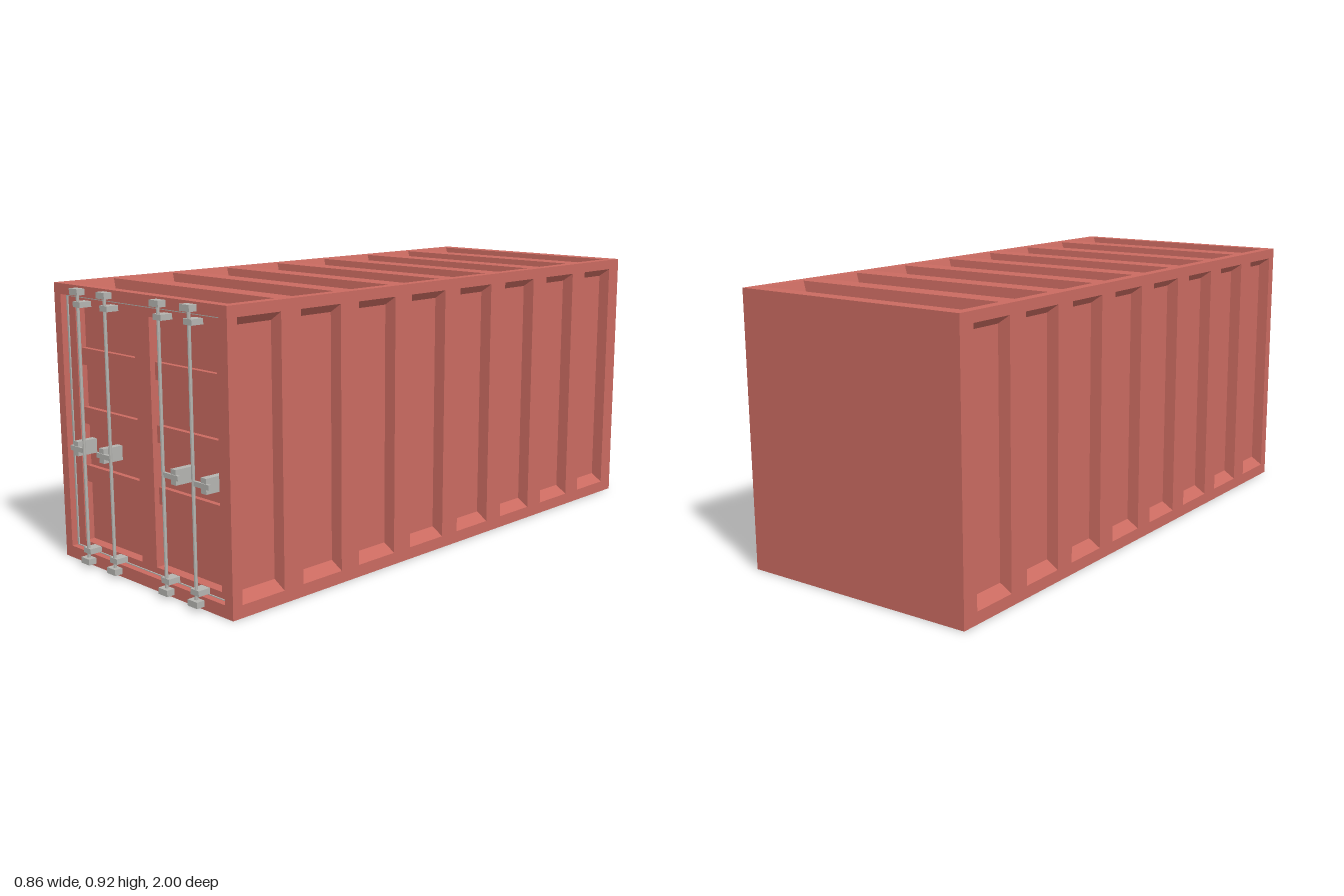
import * as THREE from 'three';
import { mergeGeometries } from 'three/addons/utils/BufferGeometryUtils.js';

const W = 0.43, H = 0.92, BACK = -1, FRONT = 0.972;
const red = new THREE.MeshStandardMaterial({ color: 0xc96a60, flatShading: true });
const grey = new THREE.MeshStandardMaterial({ color: 0xb4b4b0, flatShading: true });

// Rectangles are [x0, y0, x1, y1]
const corners = ([a, b, c, d]) => [[a, b], [c, b], [c, d], [a, d]];
const outline = (r, Type = THREE.Shape) => new Type(corners(r).map(p => new THREE.Vector2(...p)));

// Flat wall facing +z with rectangular openings cut through it
function wall(rect, holes = []) {
  const s = outline(rect);
  holes.forEach(h => s.holes.push(outline(h, THREE.Path)));
  return new THREE.ShapeGeometry(s).toNonIndexed();
}

// Sloping sides of a recess, narrowing by (ix, iy) at the given depth
function recessSides([a, b, c, d], ix, iy, depth) {
  const o = corners([a, b, c, d]).map(p => [...p, 0]);
  const n = corners([a + ix, b + iy, c - ix, d - iy]).map(p => [...p, -depth]);
  const pos = [], uv = [];
  for (let i = 0; i < 4; i++) {
    const j = (i + 1) % 4;
    pos.push(...o[i], ...o[j], ...n[j], ...o[i], ...n[j], ...n[i]);
    uv.push(...new Array(12).fill(0));
  }
  const g = new THREE.BufferGeometry();
  g.setAttribute('position', new THREE.Float32BufferAttribute(pos, 3));
  g.setAttribute('uv', new THREE.Float32BufferAttribute(uv, 2));
  g.computeVertexNormals();
  return g;
}

// Wall with a closed pocket in every opening
function pocketWall(rect, holes, ix, iy, depth) {
  const parts = [wall(rect, holes)];
  for (const h of holes) {
    parts.push(recessSides(h, ix, iy, depth));
    parts.push(wall([h[0] + ix, h[1] + iy, h[2] - ix, h[3] - iy]).translate(0, 0, -depth));
  }
  return mergeGeometries(parts);
}

function add(group, name, geometry, material = red) {
  const m = new THREE.Mesh(geometry, material);
  m.name = name;
  group.add(m);
  return m;
}

function box(group, name, x, y, z0, z1, w, h, material = grey) {
  const m = add(group, name, new THREE.BoxGeometry(w, h, z1 - z0), material);
  m.position.set(x, y, (z0 + z1) / 2);
  return m;
}

export function createModel() {
  const root = new THREE.Group();
  root.name = 'shippingContainer';
  const index = [...Array(8).keys()];

  // Corrugated long sides
  for (const s of [1, -1]) {
    const slots = index.map(i => {
      const u = -s * (0.852 - 0.244 * i);
      return [u - 0.083, 0.04, u + 0.083, 0.885];
    });
    const ends = s > 0 ? [-FRONT, 0, -BACK, H] : [BACK, 0, FRONT, H];
    const side = add(root, s > 0 ? 'leftSide' : 'rightSide', pocketWall(ends, slots, 0.004, 0.028, 0.04));
    side.rotation.y = s * Math.PI / 2;
    side.position.x = s * W;
  }

  // Corrugated roof
  const roofSlots = index.map(i => {
    const v = 0.862 - 0.2446 * i;
    return [-0.395, v - 0.086, 0.395, v + 0.086];
  });
  const roof = add(root, 'roof', pocketWall([-W, -FRONT, W, -BACK], roofSlots, 0.015, 0.004, 0.04));
  roof.rotation.x = -Math.PI / 2;
  roof.position.y = H;

  // Plain floor and back wall
  const floor = add(root, 'floor', wall([-W, BACK, W, FRONT]));
  floor.rotation.x = Math.PI / 2;
  const back = add(root, 'backWall', wall([-W, 0, W, H]));
  back.rotation.y = Math.PI;
  back.position.z = BACK;

  // Front frame with the doors set back inside it
  const opening = [-0.395, 0.04, 0.395, 0.885];
  const doorZ = FRONT - 0.025;
  const frame = add(root, 'frontFrame', mergeGeometries([
    wall([-W, 0, W, H], [opening]), recessSides(opening, 0, 0, 0.025)]));
  frame.position.z = FRONT;
  const panels = [[-0.352, 0.063, -0.038, 0.85], [0.037, 0.063, 0.351, 0.85]];
  const doors = add(root, 'doors', pocketWall(opening, panels, 0, 0, 0.035));
  doors.position.z = doorZ;

  // Horizontal ribs across each door panel
  for (const [x0, , x1] of panels)
    for (const y of [0.291, 0.487, 0.683])
      box(root, 'doorRib', (x0 + x1) / 2, y, doorZ - 0.036, doorZ - 0.018, x1 - x0, 0.055, red);

  // Thin seal around the doors
  const seal = outline(opening);
  seal.holes.push(outline([-0.388, 0.043, 0.388, 0.878], THREE.Path));
  const sealMesh = add(root, 'doorSeal', new THREE.ExtrudeGeometry(seal, { depth: 0.004, bevelEnabled: false }), grey);
  sealMesh.position.z = doorZ;

  // Locking rods with brackets and handles
  const rods = [[-0.28, -1, 0.047], [-0.135, -1, 0.05], [0.134, 1, 0.049], [0.277, 1, 0.047]];
  for (const [x, dir, plate] of rods) {
    const lock = new THREE.Group();
    lock.name = 'lockingRod';
    root.add(lock);
    const rod = add(lock, 'rod', new THREE.CylinderGeometry(0.0055, 0.0055, 0.88, 8), grey);
    rod.position.set(x, 0.46, 0.984);
    for (const y of [0.02, 0.903]) box(lock, 'frameBracket', x, y, FRONT - 0.004, 1, 0.044, 0.02);
    for (const y of [0.053, 0.862]) box(lock, 'doorBracket', x, y, doorZ - 0.002, 0.99, 0.038, 0.018);
    box(lock, 'handle', x + dir * 0.037, 0.388, 0.978, 0.987, 0.074, 0.016);
    box(lock, 'handlePlate', x + dir * plate, 0.388, doorZ - 0.036, 0.984, 0.024, 0.048);
  }
  return root;
}
